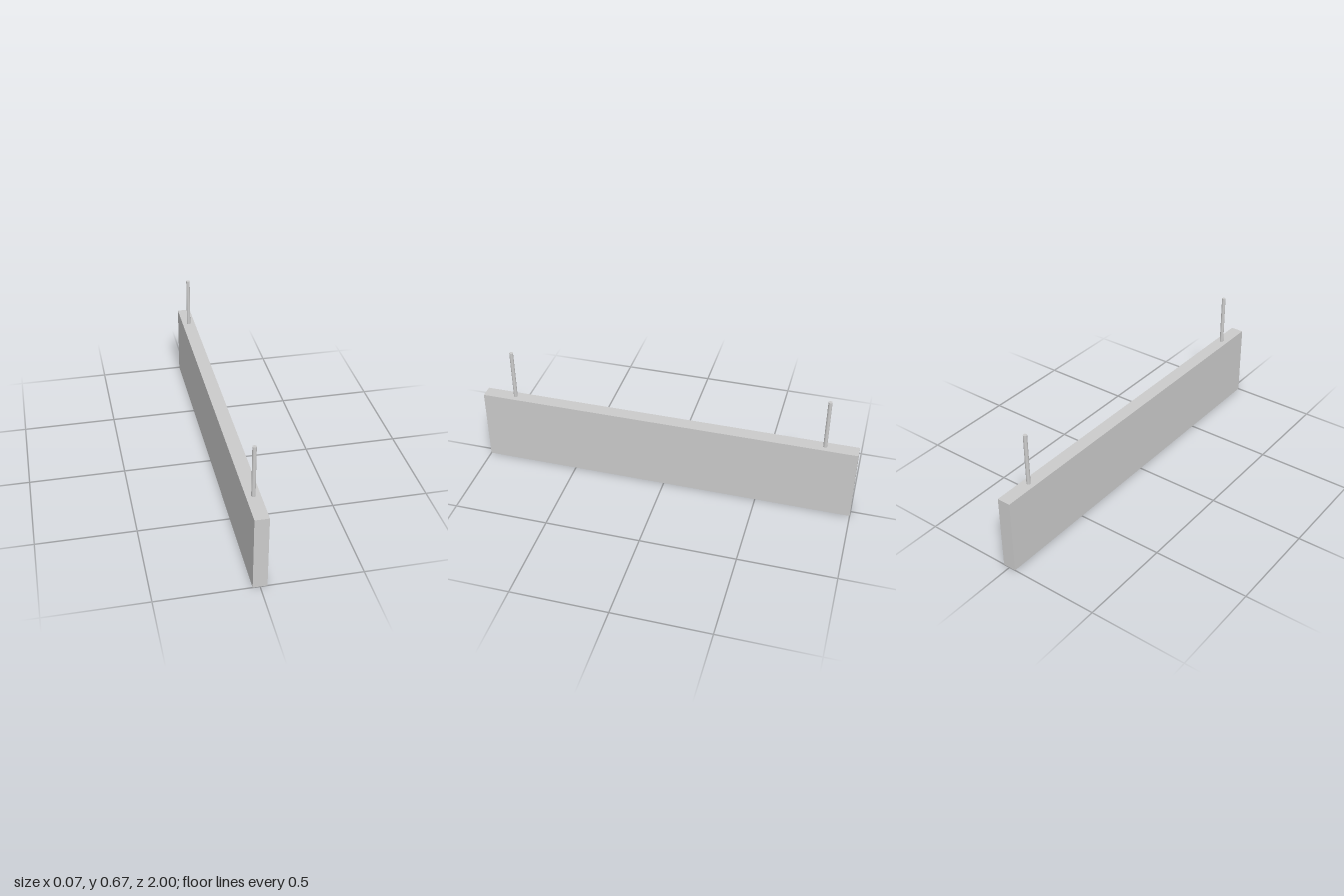
import * as THREE from 'three';

export function createModel() {
  const group = new THREE.Group();
  const material = new THREE.MeshStandardMaterial({ color: 0xcccccc });
  const panelHeight = 0.396, top = 0.669;

  // Long hanging panel
  const panel = new THREE.Mesh(new THREE.BoxGeometry(0.07, panelHeight, 2), material);
  panel.name = 'panel';
  panel.position.y = panelHeight / 2;
  group.add(panel);

  // Suspension rods near both ends
  const rodLength = top - panelHeight;
  const rodGeometry = new THREE.CylinderGeometry(0.01, 0.01, rodLength, 16);
  for (const [name, z] of [['frontRod', 0.83], ['backRod', -0.83]]) {
    const rod = new THREE.Mesh(rodGeometry, material);
    rod.name = name;
    rod.position.set(0, panelHeight + rodLength / 2, z);
    group.add(rod);
  }
  return group;
}
